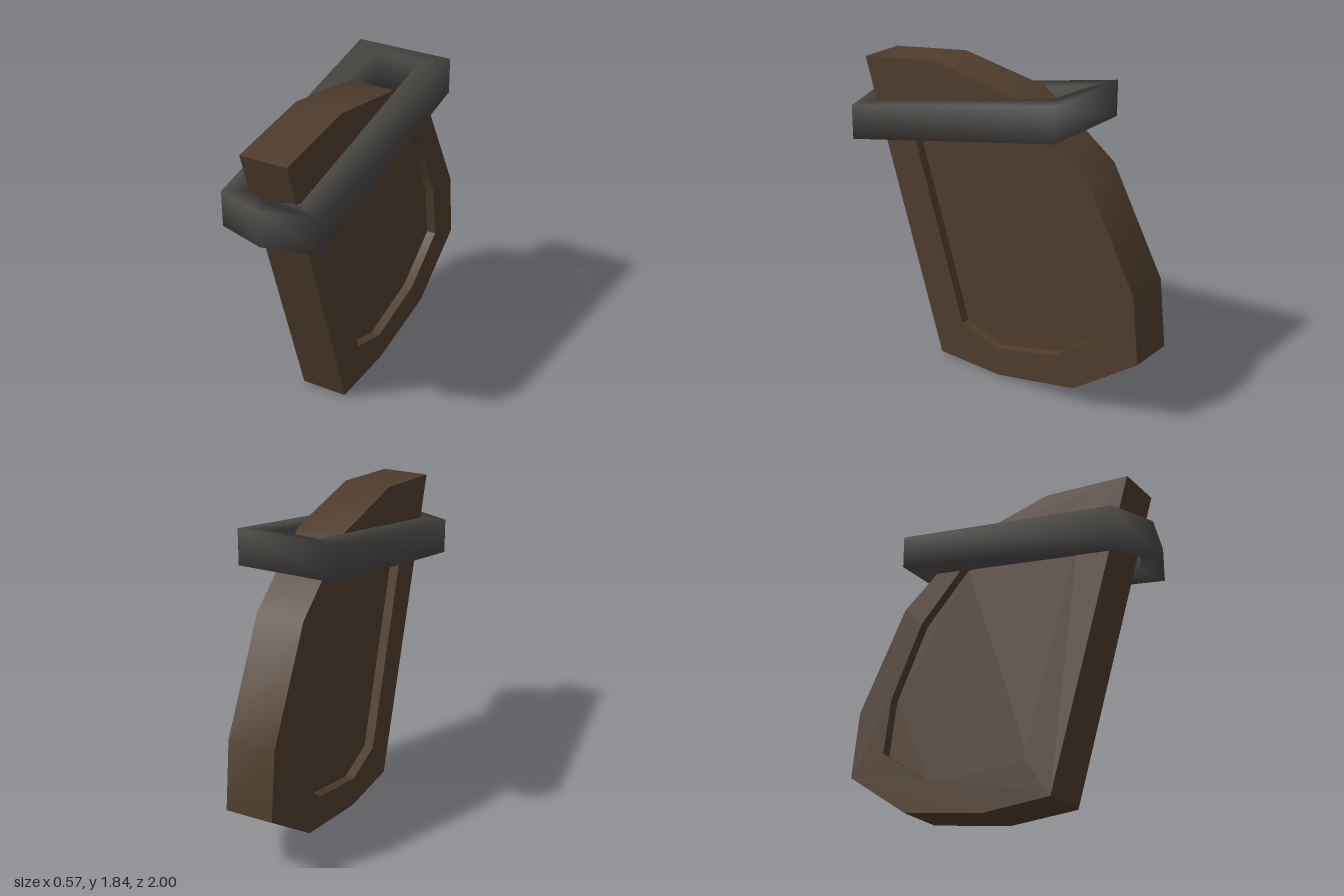
import * as THREE from 'three';
import { toCreasedNormals } from 'three/addons/utils/BufferGeometryUtils.js';

const wood = new THREE.MeshStandardMaterial({ color: 0x4f3d2d });
wood.name = 'dark wood';
const iron = new THREE.MeshStandardMaterial({ color: 0x4a4845 });
iron.name = 'dark iron';

// Side profiles as [z, y]
const outline = [
  [0.39, 0.012], [0.93, 1.775], [0.40, 1.84], [-0.17, 1.735], [-0.38, 1.585], [-0.63, 1.40],
  [-0.955, 0.80], [-1.0, 0.40], [-0.585, 0.105], [-0.05, 0.003],
];
const recess = [
  [0.225, 0.26], [0.60, 1.48], [-0.20, 1.56], [-0.50, 1.27],
  [-0.715, 0.83], [-0.76, 0.50], [-0.455, 0.275], [-0.03, 0.175],
];
const points = (list) => list.map(([z, y]) => new THREE.Vector2(z, y));

// Extrudes a side profile between two x positions
function slab(shape, xMin, xMax) {
  const geo = new THREE.ExtrudeGeometry(shape, { depth: xMax - xMin, bevelEnabled: false });
  geo.rotateY(-Math.PI / 2);
  geo.translate(xMax, 0, 0);
  return toCreasedNormals(geo, 0.5);
}

// Closed band swept through stations, each with four corners:
// outer bottom, outer top, inner top, inner bottom
function bandGeometry(stations) {
  const pos = [], index = [], n = stations.length;
  for (const { out, inn, yo, yi } of stations) {
    pos.push(out[0], yo[0], out[1], out[0], yo[1], out[1]);
    pos.push(inn[0], yi[1], inn[1], inn[0], yi[0], inn[1]);
  }
  for (let i = 0; i < n; i++) {
    for (let k = 0; k < 4; k++) {
      const a = i * 4 + k, b = i * 4 + (k + 1) % 4;
      const c = ((i + 1) % n) * 4 + k, d = ((i + 1) % n) * 4 + (k + 1) % 4;
      index.push(a, c, b, b, c, d);
    }
  }
  const geo = new THREE.BufferGeometry();
  geo.setAttribute('position', new THREE.Float32BufferAttribute(pos, 3));
  geo.setIndex(index);
  geo.computeVertexNormals();
  return geo;
}

export function createModel() {
  const model = new THREE.Group();
  const add = (name, geo, mat) => {
    const mesh = new THREE.Mesh(geo, mat);
    mesh.name = name;
    model.add(mesh);
  };

  // Wooden body: a thick rim with a sunken panel on both sides
  const rim = new THREE.Shape(points(outline));
  rim.holes.push(new THREE.Path(points(recess)));
  add('bodyRim', slab(rim, -0.145, 0.13), wood);
  add('sunkenPanel', slab(new THREE.Shape(points(recess)), -0.09, 0.075), wood);

  // Tilted iron band with a pointed front, ordered front, left side, back, right side
  const front = [1.315, 1.52], back = [1.605, 1.81];
  const side = (s) => ({ out: [s * 0.287, 0.905], inn: [s * 0.14, 0.83], yo: front, yi: [1.335, 1.53] });
  const rear = (s) => ({ out: [s * 0.287, -0.543], inn: [s * 0.14, -0.44], yo: back, yi: [1.585, 1.79] });
  add('ironBand', bandGeometry([
    { out: [0, 1.0], inn: [0, 0.92], yo: [1.325, 1.53], yi: [1.325, 1.545] },
    side(1), rear(1), rear(-1), side(-1),
  ]), iron);

  return model;
}
